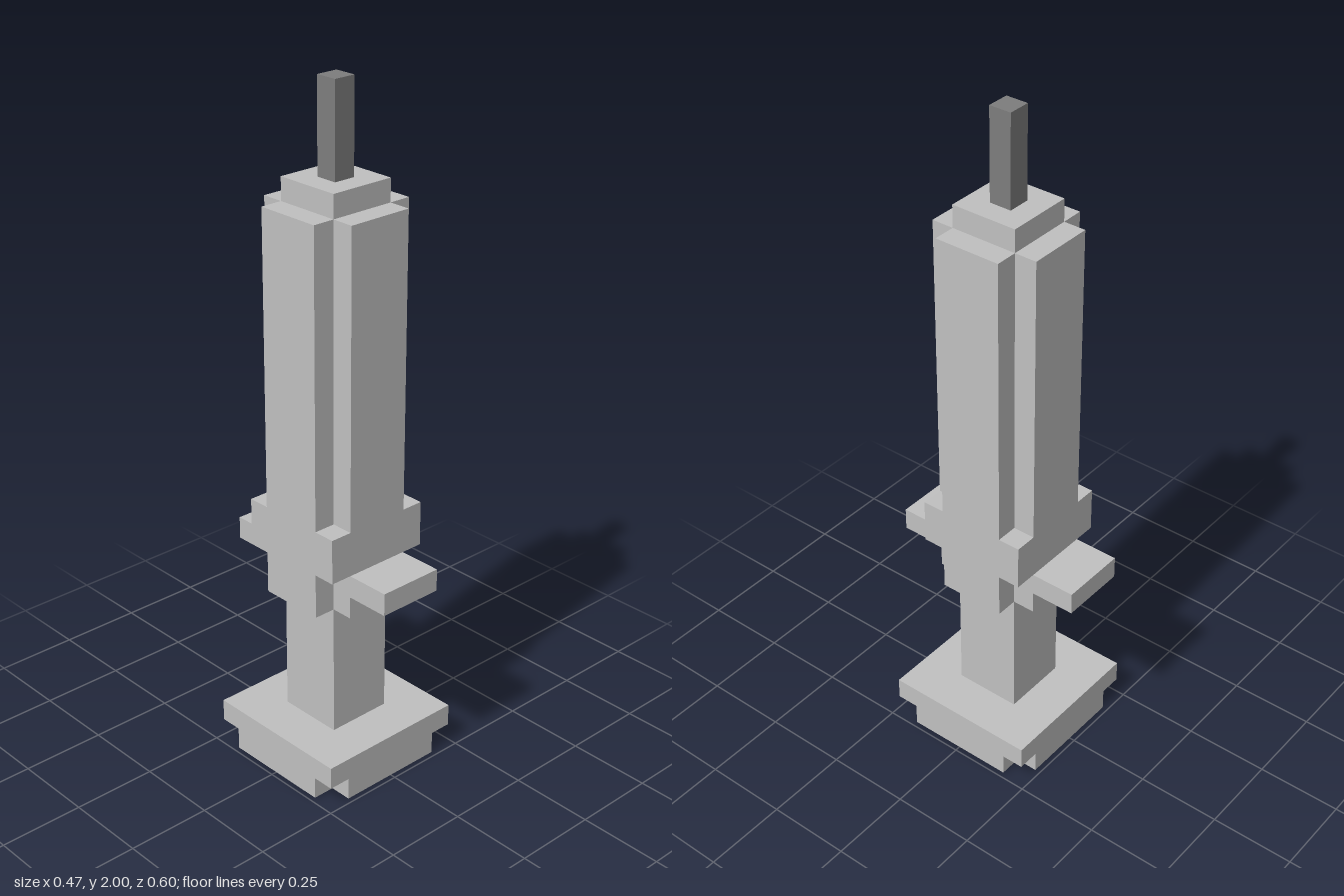
import * as THREE from 'three';

const U = 1 / 15; // grid unit that all parts are built on

const lightGrey = new THREE.MeshStandardMaterial({ color: 0xc0c0c0 });
lightGrey.name = 'lightGrey';
const darkGrey = new THREE.MeshStandardMaterial({ color: 0x7d7d7d });
darkGrey.name = 'darkGrey';

export function createModel() {
  const model = new THREE.Group();
  model.name = 'model';

  // Box centred on the axis, from y0 to y1, sizes in grid units
  function block(name, width, depth, y0, y1, material = lightGrey) {
    const geometry = new THREE.BoxGeometry(width * U, (y1 - y0) * U, depth * U);
    geometry.translate(0, ((y0 + y1) / 2) * U, 0);
    return add(name, geometry, material);
  }

  // Square column with notched corners: r is the outer half width, a the arm half width
  function cross(name, r, a, y0, y1) {
    const points = [
      [r, -a], [r, a], [a, a], [a, r], [-a, r], [-a, a],
      [-r, a], [-r, -a], [-a, -a], [-a, -r], [a, -r], [a, -a],
    ].map(([x, y]) => new THREE.Vector2(x * U, y * U));
    const geometry = new THREE.ExtrudeGeometry(new THREE.Shape(points), {
      depth: (y1 - y0) * U,
      bevelEnabled: false,
    });
    geometry.rotateX(-Math.PI / 2).translate(0, y0 * U, 0);
    return add(name, geometry, lightGrey);
  }

  function add(name, geometry, material) {
    const mesh = new THREE.Mesh(geometry, material);
    mesh.name = name;
    model.add(mesh);
    return mesh;
  }

  // Foot: notched sole under a square plate
  cross('baseSole', 3.5, 2.5, 0, 1);
  block('basePlate', 7, 7, 1, 2);

  // Neck between the foot and the body
  block('neck', 3, 3, 2, 8);

  // Body: notched skirt, full collar and long fluted barrel
  cross('bodySkirt', 2.5, 1.5, 8, 10);
  block('bodyCollar', 5, 5, 10, 12);
  cross('bodyBarrel', 2.5, 1.5, 12, 25);
  block('bodyCap', 3, 3, 25, 26);

  // Finger grips at the front and back
  for (const side of [1, -1]) {
    const grip = block(side > 0 ? 'frontGrip' : 'backGrip', 3, 2, 9, 10);
    grip.position.z = side * 3.5 * U;
  }

  // Thin rod at the tip
  block('tipRod', 1, 1, 26, 30, darkGrey);

  return model;
}
